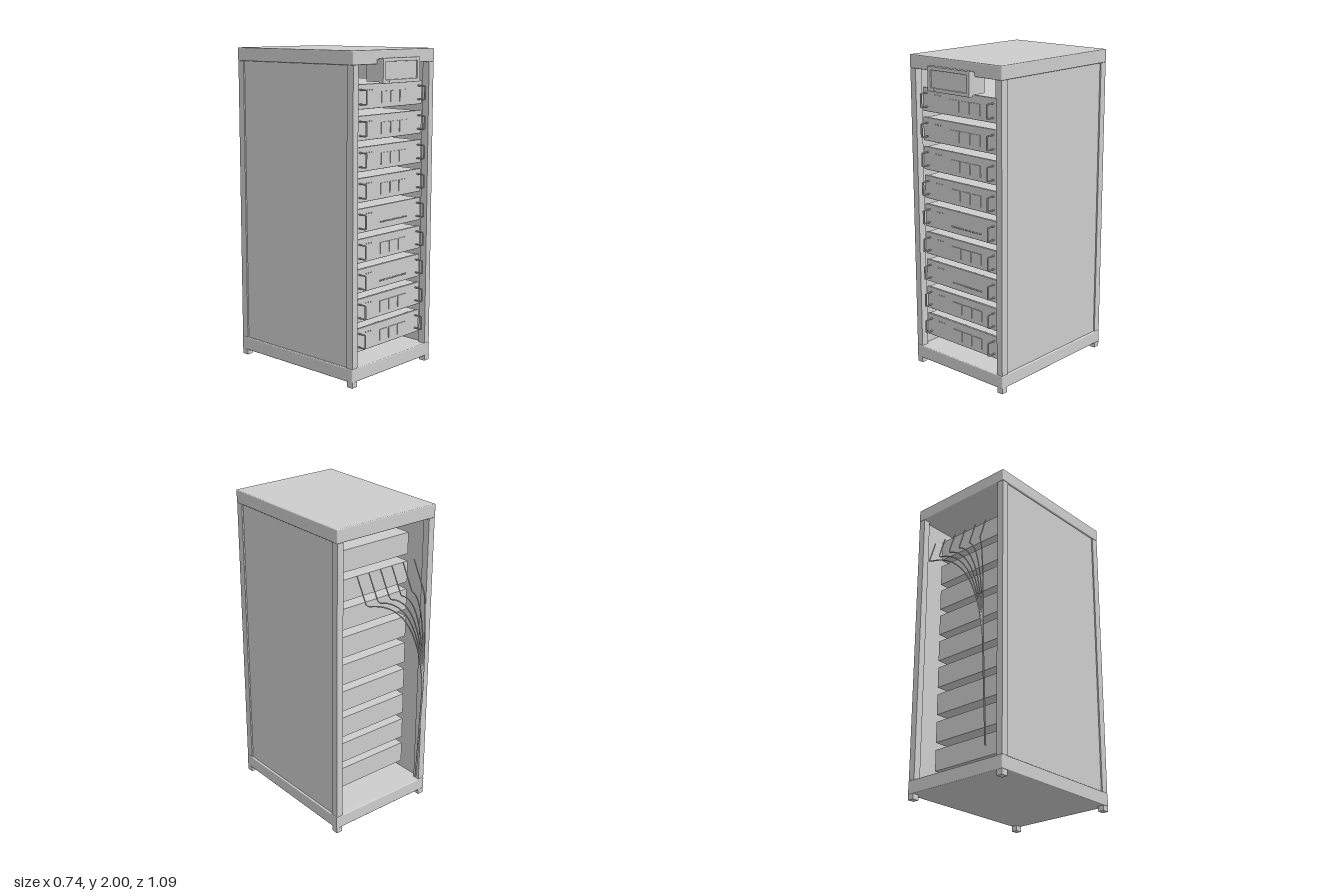
import * as THREE from 'three';
import { RoundedBoxGeometry } from 'three/addons/geometries/RoundedBoxGeometry.js';

export function createModel() {
  const model = new THREE.Group();
  const grey = new THREE.MeshStandardMaterial({ color: 0xcccccc });
  grey.name = 'light grey';

  const add = (parent, name, geometry, x = 0, y = 0, z = 0) => {
    const mesh = new THREE.Mesh(geometry, grey);
    mesh.name = name;
    mesh.position.set(x, y, z);
    parent.add(mesh);
    return mesh;
  };
  // Box given by its min and max on each axis
  const span = (parent, name, x0, x1, y0, y1, z0, z1, r = 0) => {
    const size = [x1 - x0, y1 - y0, z1 - z0];
    const geometry = r ? new RoundedBoxGeometry(...size, 2, r) : new THREE.BoxGeometry(...size);
    return add(parent, name, geometry, (x0 + x1) / 2, (y0 + y1) / 2, (z0 + z1) / 2);
  };

  // Cabinet frame
  const W = 0.372, BACK = -0.483, FRONT = 0.492;
  span(model, 'topCap', -W, W, 1.917, 2, BACK, FRONT, 0.006);
  span(model, 'base', -W, W, 0.034, 0.118, BACK, FRONT, 0.006);
  for (const s of [-1, 1]) {
    const side = (name, a, b, y0, y1, z0, z1) =>
      span(model, name, Math.min(s * a, s * b), Math.max(s * a, s * b), y0, y1, z0, z1);
    side('sidePanel', 0.348, 0.36, 0.118, 1.917, -0.434, 0.444);
    for (const [z0, z1] of [[BACK + 0.002, -0.434], [0.441, FRONT - 0.002]]) {
      side('cornerPost', 0.325, 0.369, 0.118, 1.917, z0, z1);
    }
    for (const [z0, z1] of [[BACK + 0.002, BACK + 0.046], [FRONT - 0.046, FRONT - 0.002]]) {
      side('foot', 0.328, 0.369, 0, 0.036, z0, z1);
    }
  }

  // Rack units with handles, lights and bays
  const FACE = 0.45;
  const handlePath = new THREE.CurvePath();
  const h = [[-0.042, 0], [-0.042, 0.056], [0.042, 0.056], [0.042, 0]]
    .map(([y, z]) => new THREE.Vector3(0, y, z));
  for (let i = 0; i < 3; i++) handlePath.add(new THREE.LineCurve3(h[i], h[i + 1]));
  const handleGeometry = new THREE.TubeGeometry(handlePath, 24, 0.005, 8);
  const lightGeometry = new THREE.CylinderGeometry(0.004, 0.004, 0.005, 10).rotateX(Math.PI / 2);
  const bayGeometry = new THREE.BoxGeometry(0.074, 0.07, 0.006);
  const portGeometry = new THREE.BoxGeometry(0.017, 0.008, 0.006);

  for (let i = 0; i < 9; i++) {
    const unit = new THREE.Group();
    unit.name = 'rackUnit';
    unit.position.y = 1.731 - i * 0.1828;
    model.add(unit);
    span(unit, 'unitBody', -0.305, 0.305, -0.068, 0.068, -0.33, FACE - 0.012);
    span(unit, 'facePlate', -0.31, 0.31, -0.073, 0.073, FACE - 0.016, FACE, 0.004);
    for (const x of [-0.27, 0.27]) add(unit, 'handle', handleGeometry, x, 0, FACE - 0.001);
    for (let k = 0; k < 3; k++) {
      add(unit, 'statusLight', lightGeometry, -0.204 + k * 0.022, 0.037, FACE + 0.002);
    }
    if (i === 4 || i === 6) {
      for (let k = 0; k < 9; k++) {
        add(unit, 'port', portGeometry, -0.07 + k * 0.029, -0.03, FACE + 0.003);
      }
    } else {
      for (let k = 0; k < 3; k++) add(unit, 'driveBay', bayGeometry, -0.04 + k * 0.085, -0.01, FACE + 0.002);
    }
  }

  // Monitor: housing, framed screen, small button
  const monitor = new THREE.Group();
  monitor.name = 'monitor';
  model.add(monitor);
  span(monitor, 'monitorHousing', -0.166, 0.166, 1.815, 1.945, 0.41, 0.506);
  const rectangle = (Type, w, ht) => {
    const p = new Type();
    p.moveTo(-w, -ht).lineTo(w, -ht).lineTo(w, ht).lineTo(-w, ht).closePath();
    return p;
  };
  const frame = rectangle(THREE.Shape, 0.167, 0.071);
  frame.holes.push(rectangle(THREE.Path, 0.148, 0.055));
  add(monitor, 'monitorFrame', new THREE.ExtrudeGeometry(frame, {
    depth: 0.028, bevelThickness: 0.003, bevelSize: 0.003, bevelSegments: 2,
  }), 0, 1.88, 0.512);
  span(monitor, 'screen', -0.15, 0.15, 1.824, 1.936, 0.505, 0.534);
  add(monitor, 'monitorButton', lightGeometry, -0.115, 1.816, 0.543);

  // Cables gathering into one trunk at the back
  const v = (x, y, z) => new THREE.Vector3(x, y, z);
  for (let i = 0; i < 6; i++) {
    const x = -0.22 + i * 0.088, bend = x - 0.017, trunk = -0.272 + i * 0.001;
    const top = v(bend, 1.52, -0.543), low = v(trunk, 0.85, -0.541);
    const path = new THREE.CurvePath();
    path.add(new THREE.LineCurve3(v(x, 1.69, -0.475), top));
    path.add(new THREE.QuadraticBezierCurve3(top, v(bend * 0.16 - 0.233, 1.46, -0.545), low));
    path.add(new THREE.LineCurve3(low, v(trunk, 0.18, -0.51)));
    add(model, 'cable', new THREE.TubeGeometry(path, 60, 0.004, 6));
  }
  return model;
}
